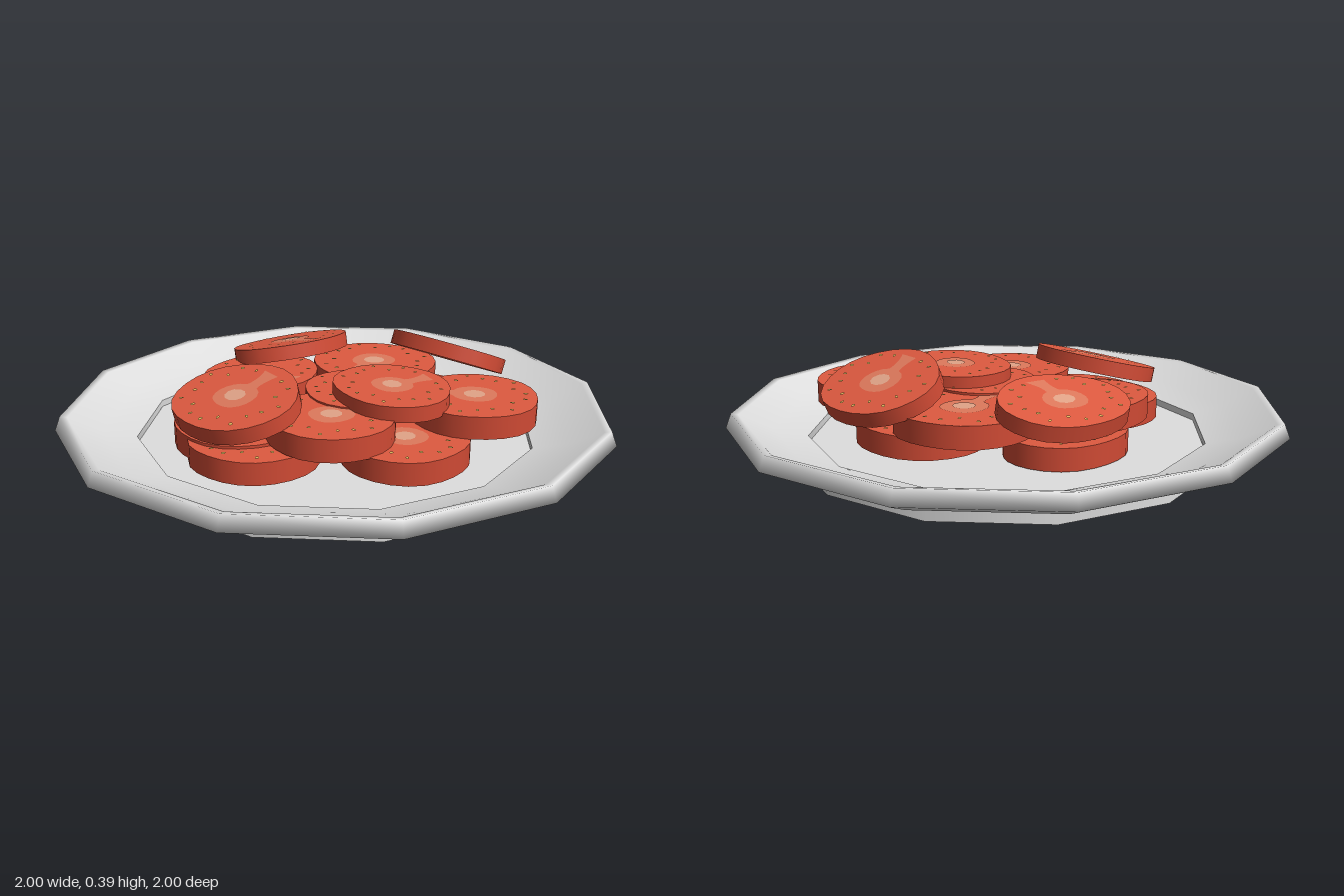
import * as THREE from 'three';

const mat = (name, color) => Object.assign(new THREE.MeshStandardMaterial({ color }), { name });

export function createModel() {
  const model = new THREE.Group();
  model.name = 'plateOfTomatoSlices';
  const china = mat('china', 0xdedede);
  const flesh = mat('tomato flesh', 0xde5a40);
  const skin = mat('tomato skin', 0xcf4a34);
  const pulp = mat('pale pulp', 0xde795c);
  const heart = mat('heart', 0xe2a488);
  const seedMat = mat('seeds', 0xdcb35c);

  const add = (parent, name, geometry, material) => {
    const mesh = new THREE.Mesh(geometry, material);
    mesh.name = name;
    parent.add(mesh);
    return mesh;
  };

  // Twelve-sided plate, split where its edges are sharp
  const plate = new THREE.Group();
  plate.name = 'plate';
  model.add(plate);
  const turned = (name, pts) => add(plate, name,
    new THREE.LatheGeometry(pts.map(([r, y]) => new THREE.Vector2(r, y)), 12), china);
  turned('plateBase', [[0, 0], [0.77, 0]]);
  turned('plateFoot', [[0.77, 0], [0.77, 0.04]]);
  turned('plateRim', [[0.77, 0.04], [0.9, 0.085], [1, 0.13], [0.98, 0.18], [0.955, 0.175], [0.84, 0.115], [0.72, 0.085]]);
  turned('plateStep', [[0.72, 0.085], [0.72, 0.06]]);
  turned('plateFloor', [[0.72, 0.06], [0, 0.06]]);

  // Pale pulp: a blob whose stem flares towards the +z side of the slice
  const pulpShape = new THREE.Shape();
  pulpShape.moveTo(-0.12, -0.78);
  pulpShape.quadraticCurveTo(-0.07, -0.5, -0.12, -0.34);
  pulpShape.bezierCurveTo(-0.38, -0.28, -0.42, 0.12, -0.24, 0.28);
  pulpShape.bezierCurveTo(-0.1, 0.4, 0.16, 0.36, 0.26, 0.24);
  pulpShape.bezierCurveTo(0.4, 0.06, 0.32, -0.26, 0.1, -0.34);
  pulpShape.quadraticCurveTo(0.07, -0.55, 0.2, -0.8);
  const flat = (shape) => new THREE.ShapeGeometry(shape, 6).rotateX(-Math.PI / 2);
  const pulpGeo = flat(pulpShape);
  const heartGeo = new THREE.CircleGeometry(0.17, 10).rotateX(-Math.PI / 2);

  // Ring of seeds, gathered into one shape list and leaving room for the stem
  const seeds = [];
  for (let i = 0; i < 18; i++) {
    const a = -Math.PI / 2 + 0.4 + (i / 17) * (2 * Math.PI - 0.8);
    const r = 0.76 + 0.1 * Math.sin(i * 2.4);
    const s = new THREE.Shape();
    s.absellipse(r * Math.cos(a), r * Math.sin(a), 0.04, 0.025 + 0.006 * (i % 2), 0, 2 * Math.PI, false, a);
    seeds.push(s);
  }
  const seedGeo = flat(seeds);

  // Slightly uneven disc of unit radius and height
  const discGeo = new THREE.CylinderGeometry(1, 1, 1, 24);
  const p = discGeo.attributes.position;
  for (let i = 0; i < p.count; i++) {
    const a = Math.atan2(p.getX(i), p.getZ(i));
    const k = 1 + 0.015 * Math.sin(3 * a + 1) + 0.01 * Math.cos(5 * a);
    p.setX(i, p.getX(i) * k);
    p.setZ(i, p.getZ(i) * k);
  }

  // x, y, z, half width, half depth, thickness, turn, tilt (raises the stem side)
  const slices = [
    // bottom layer
    [0.39, 0.12, 0.03, 0.22, 0.22, 0.08, -1.5, 0],
    [-0.09, 0.12, 0.36, 0.235, 0.23, 0.08, 3.0, 0],
    [0.04, 0.11, 0.395, 0.225, 0.225, 0.08, 3.3, 0],
    [0.08, 0.115, -0.33, 0.24, 0.22, 0.08, 0, 0],
    [-0.32, 0.105, -0.02, 0.23, 0.2, 0.08, 1.6, 0],
    // middle layer
    [0.41, 0.2, -0.29, 0.225, 0.225, 0.08, -0.9, 0],
    [0.22, 0.196, 0.21, 0.225, 0.22, 0.08, 3.0, 0],
    [-0.29, 0.198, 0.12, 0.23, 0.2, 0.08, 1.75, 0],
    [-0.12, 0.194, -0.3, 0.24, 0.23, 0.08, 0.3, 0],
    [0.1, 0.215, -0.03, 0.21, 0.2, 0.055, 2.6, 0],
    // top layer
    [0.235, 0.257, -0.055, 0.235, 0.195, 0.055, 2.9, 0],
    [-0.41, 0.26, -0.12, 0.24, 0.185, 0.055, 1.5, 0.22],
    [0.1, 0.288, -0.475, 0.235, 0.19, 0.055, 0.08, 0.4],
    [-0.025, 0.26, 0.42, 0.252, 0.205, 0.055, 3.1, 0.25],
  ];
  slices.forEach(([x, y, z, w, d, t, turn, tilt], i) => {
    const slice = new THREE.Group();
    slice.name = `tomatoSlice${i + 1}`;
    slice.position.set(x, y, z);
    slice.rotation.set(-tilt, turn, 0, 'YXZ');
    add(slice, 'sliceBody', discGeo, [skin, flesh, flesh]).scale.set(w, t, d);
    [['pulp', pulpGeo, pulp], ['heart', heartGeo, heart], ['seeds', seedGeo, seedMat]].forEach(([name, geo, m], j) => {
      const detail = add(slice, name, geo, m);
      detail.scale.set(w, 1, d);
      detail.position.y = t / 2 + 0.0015 * (j + 1);
    });
    model.add(slice);
  });
  return model;
}
